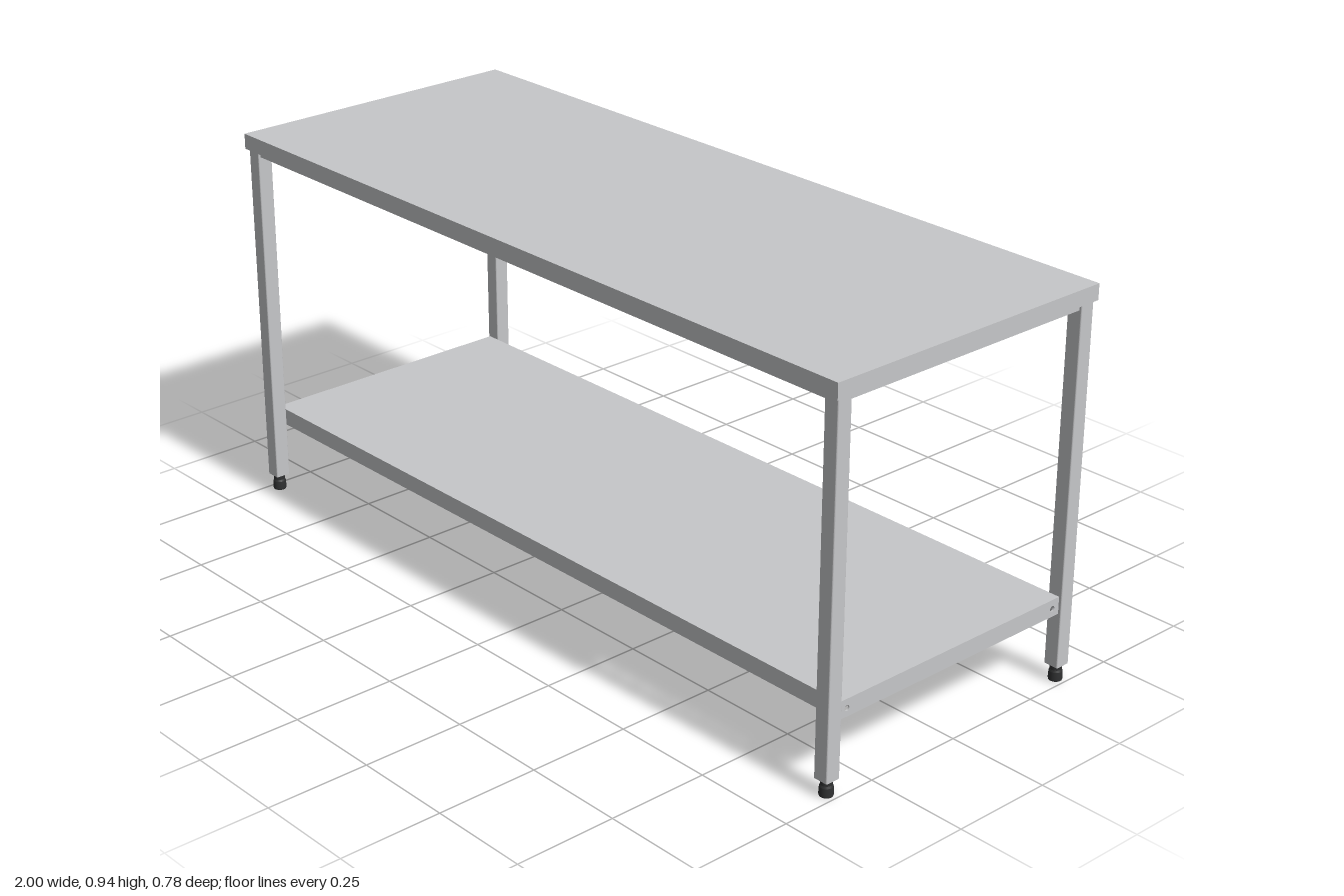
import * as THREE from 'three';

const steel = new THREE.MeshStandardMaterial({ color: 0xc6c7c9 });
steel.name = 'brushed steel';
const rubber = new THREE.MeshStandardMaterial({ color: 0x303132 });
rubber.name = 'dark rubber';

function add(parent, name, geometry, material, x = 0, y = 0, z = 0) {
  const mesh = new THREE.Mesh(geometry, material);
  mesh.name = name;
  mesh.position.set(x, y, z);
  parent.add(mesh);
  return mesh;
}

function box(parent, name, x0, x1, y0, y1, z0, z1) {
  return add(parent, name, new THREE.BoxGeometry(x1 - x0, y1 - y0, z1 - z0), steel,
    (x0 + x1) / 2, (y0 + y1) / 2, (z0 + z1) / 2);
}

// Upright plate in the y-z plane with optional round screw holes
function endPlate(parent, name, x, t, y0, y1, halfZ, holes) {
  const shape = new THREE.Shape();
  shape.moveTo(-halfZ, y0).lineTo(halfZ, y0).lineTo(halfZ, y1).lineTo(-halfZ, y1).closePath();
  for (const [z, y, r] of holes) {
    const hole = new THREE.Path();
    hole.absarc(z, y, r, 0, Math.PI * 2, true);
    shape.holes.push(hole);
  }
  const geo = new THREE.ExtrudeGeometry(shape, { depth: t, bevelEnabled: false, curveSegments: 10 });
  geo.translate(0, 0, -t / 2).rotateY(-Math.PI / 2);
  add(parent, name, geo, steel, x);
}

// Sheet with folded-down edges, open underneath
function pan(name, halfX, halfZ, y0, y1, t, holes = []) {
  const group = new THREE.Group();
  group.name = name;
  box(group, 'sheet', -halfX, halfX, y1 - t, y1, -halfZ, halfZ);
  for (const s of [-1, 1]) {
    const z = s * (halfZ - t / 2);
    box(group, 'longEdge', -halfX, halfX, y0, y1 - t, z - t / 2, z + t / 2);
    endPlate(group, 'endEdge', s * (halfX - t / 2), t, y0, y1 - t, halfZ - t, holes);
  }
  return group;
}

// Square tube with slightly rounded corners
function tubeGeometry(half, r, height) {
  const s = new THREE.Shape();
  const c = half - r;
  s.absarc(c, c, r, 0, Math.PI / 2);
  s.absarc(-c, c, r, Math.PI / 2, Math.PI);
  s.absarc(-c, -c, r, Math.PI, Math.PI * 1.5);
  s.absarc(c, -c, r, Math.PI * 1.5, Math.PI * 2);
  const geo = new THREE.ExtrudeGeometry(s, { depth: height, bevelEnabled: false, curveSegments: 3 });
  return geo.rotateX(-Math.PI / 2);
}

export function createModel() {
  const model = new THREE.Group();
  model.name = 'workTable';

  // Worktop and lower shelf
  model.add(pan('worktop', 1, 0.388, 0.907, 0.945, 0.005));
  model.add(pan('shelf', 0.988, 0.341, 0.175, 0.217, 0.004,
    [[-0.32, 0.195, 0.007], [0.32, 0.195, 0.007]]));

  // Rails under the worktop
  const legX = 0.976, legZ = 0.361, half = 0.019;
  for (const s of [-1, 1]) {
    const z = s * legZ, x = s * legX;
    box(model, 'longRail', -legX + half, legX - half, 0.893, 0.94, z - 0.013, z + 0.013);
    box(model, 'endRail', x - 0.013, x + 0.013, 0.893, 0.94, -legZ + half, legZ - half);
  }

  // Legs with adjustable feet
  const legGeo = tubeGeometry(half, 0.003, 0.9);
  const footGeo = new THREE.LatheGeometry([
    [0, 0], [0.0155, 0], [0.0155, 0], [0.0165, 0.004], [0.0155, 0.022],
    [0.0155, 0.022], [0.0135, 0.027], [0.0135, 0.027], [0.0135, 0.045],
  ].map(([r, y]) => new THREE.Vector2(r, y)), 20);
  for (const sx of [-1, 1]) {
    for (const sz of [-1, 1]) {
      add(model, 'leg', legGeo, steel, sx * legX, 0.04, sz * legZ);
      add(model, 'foot', footGeo, rubber, sx * legX, 0, sz * legZ);
    }
  }
  return model;
}
